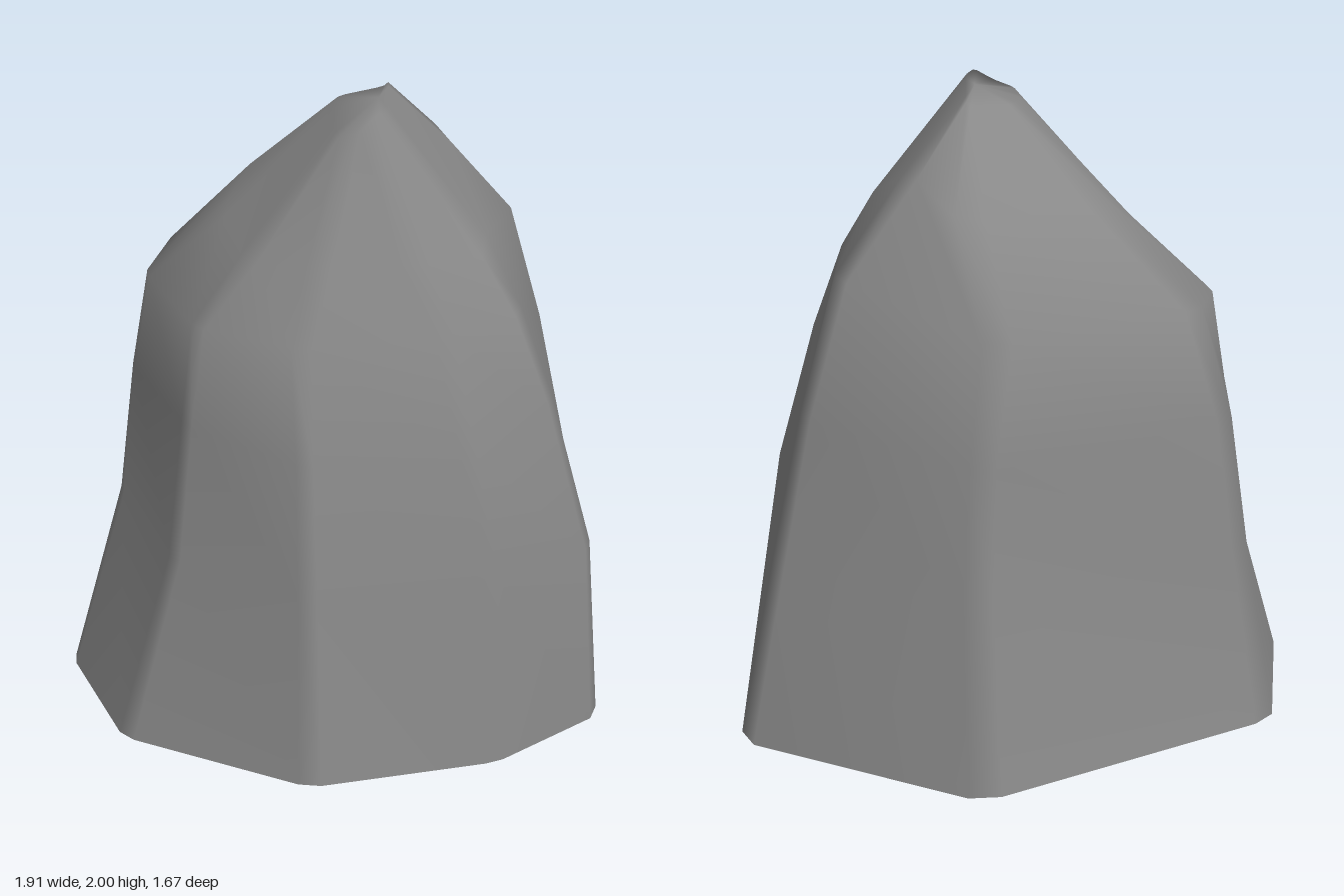
import * as THREE from 'three';

// Corner ridges of the boulder, each running from the ground to the summit
const ridges = [
  // back left
  [[-0.64, 0, -0.82], [-0.59, 0.6, -0.7], [-0.53, 1.04, -0.67], [-0.45, 1.4, -0.59], [-0.24, 1.71, -0.36], [-0.07, 1.97, -0.06]],
  // back right
  [[0.43, 0, -0.84], [0.39, 0.6, -0.71], [0.36, 1.04, -0.68], [0.27, 1.4, -0.6], [0.27, 1.72, -0.38], [0.09, 1.98, -0.07]],
  // right
  [[0.98, 0, -0.17], [0.84, 0.6, -0.16], [0.73, 1.09, -0.16], [0.59, 1.52, -0.13], [0.33, 1.82, -0.12], [0.1, 2, -0.05]],
  // front right
  [[0.5, 0, 0.72], [0.48, 0.6, 0.68], [0.37, 1.1, 0.59], [0.28, 1.38, 0.54], [0.22, 1.56, 0.46], [-0.05, 1.99, 0.26]],
  // front
  [[0.07, 0, 0.84], [0.07, 0.62, 0.77], [0.04, 1, 0.68], [0, 1.36, 0.59], [-0.04, 1.56, 0.45], [-0.09, 2, 0.28]],
  // front left
  [[-0.53, 0, 0.73], [-0.49, 0.6, 0.62], [-0.46, 1, 0.54], [-0.43, 1.35, 0.45], [-0.32, 1.56, 0.34], [-0.17, 1.95, 0.3]],
  // left
  [[-0.96, 0, 0.2], [-0.77, 0.6, 0.2], [-0.71, 1.05, 0.19], [-0.66, 1.36, 0.18], [-0.48, 1.53, 0.14], [-0.22, 1.93, 0.25]],
  // left back
  [[-0.945, 0, -0.36], [-0.75, 0.6, -0.36], [-0.69, 1.05, -0.36], [-0.63, 1.36, -0.37], [-0.41, 1.6, -0.22], [-0.13, 1.97, 0.02]],
];

// Corner bevel per level, softer towards the summit
const bevels = [0.06, 0.06, 0.06, 0.08, 0.15, 0.15];

function rockGeometry() {
  const n = ridges.length, levels = bevels.length, cols = n * 2;
  const positions = [], index = [];

  // Each ridge is split in two, so every corner gets a narrow bevel
  for (let j = 0; j < levels; j++) {
    for (let i = 0; i < n; i++) {
      const p = new THREE.Vector3(...ridges[i][j]);
      for (const side of [n - 1, 1]) {
        const neighbour = new THREE.Vector3(...ridges[(i + side) % n][j]);
        positions.push(...p.clone().lerp(neighbour, bevels[j]).toArray());
      }
    }
  }

  // Walls between the levels
  for (let j = 0; j < levels - 1; j++) {
    for (let i = 0; i < cols; i++) {
      const k = (i + 1) % cols;
      const a = j * cols + i, b = j * cols + k;
      index.push(a, a + cols, b + cols, a, b + cols, b);
    }
  }

  // Summit; the underside stays open
  const top = (levels - 1) * cols, peak = positions.length / 3;
  positions.push(-0.01, 2, 0.11);
  for (let i = 0; i < cols; i++) index.push(peak, top + (i + 1) % cols, top + i);

  const geometry = new THREE.BufferGeometry();
  geometry.setAttribute('position', new THREE.Float32BufferAttribute(positions, 3));
  geometry.setIndex(index);
  geometry.computeVertexNormals();
  return geometry;
}

export function createModel() {
  const group = new THREE.Group();
  group.name = 'boulder';
  const material = new THREE.MeshStandardMaterial({ color: 0x888888, side: THREE.DoubleSide });
  const rock = new THREE.Mesh(rockGeometry(), material);
  rock.name = 'rock';
  group.add(rock);
  return group;
}
